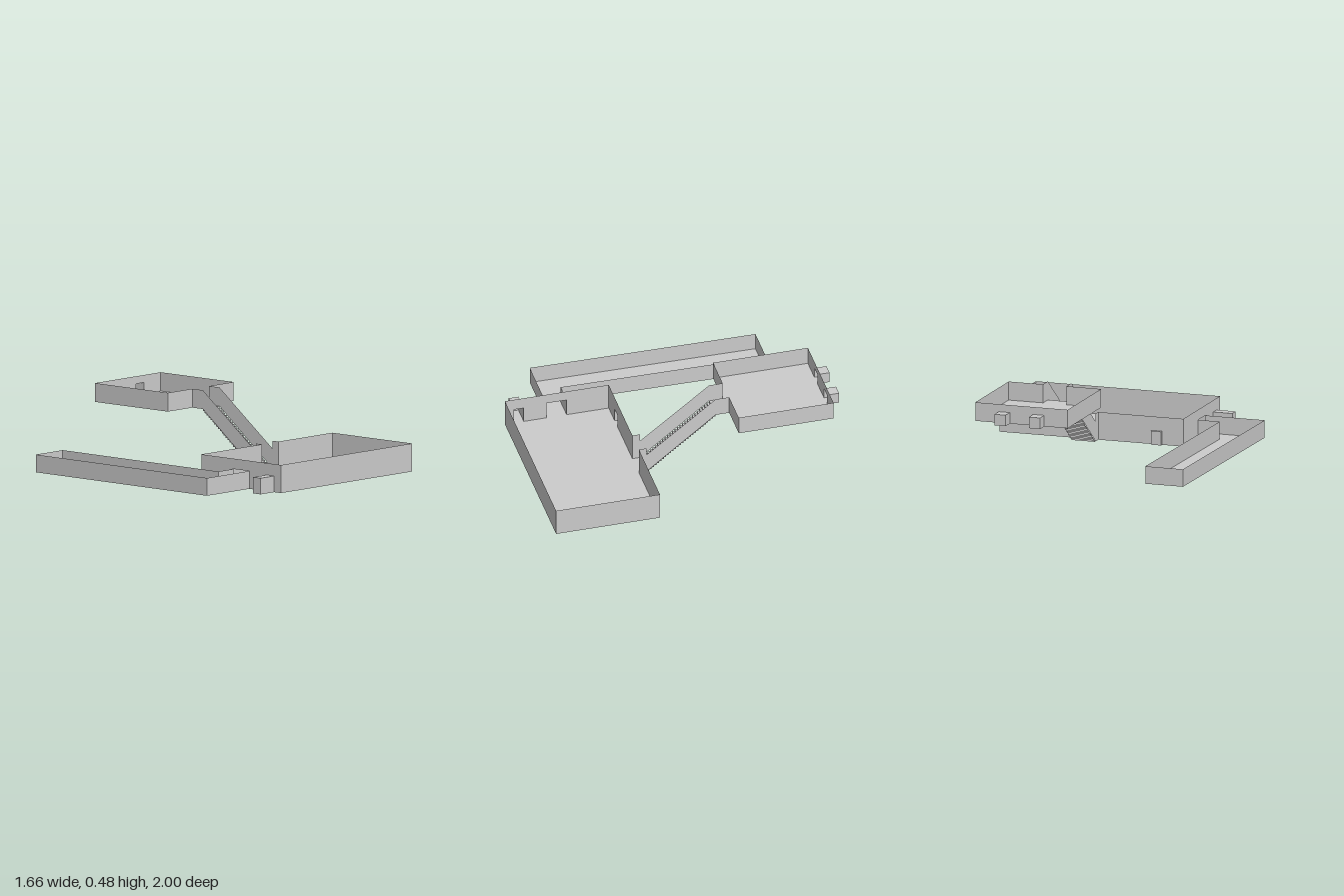
import * as THREE from 'three';

const mat = new THREE.MeshStandardMaterial({ color: 0xcccccc, side: THREE.DoubleSide, flatShading: true });

function add(parent, name, geometry) {
  geometry.computeVertexNormals();
  const mesh = new THREE.Mesh(geometry, mat);
  mesh.name = name;
  parent.add(mesh);
  return mesh;
}

const shapeOf = (pts) => new THREE.Shape(pts.map(([x, y]) => new THREE.Vector2(x, y)));

// Horizontal sheet from an outline of [x, z] points
function slab(parent, name, pts, y) {
  const g = new THREE.ShapeGeometry(shapeOf(pts.map(([x, z]) => [x, -z])));
  g.rotateX(-Math.PI / 2).translate(0, y, 0);
  return add(parent, name, g);
}

// Upright sheet from a to b ([x, z]); openings are [start, end, height] along it
function wall(parent, name, a, b, y, height, openings = []) {
  const dx = b[0] - a[0], dz = b[1] - a[1], len = Math.hypot(dx, dz);
  const pts = [[0, 0]];
  for (const [s, e, h] of openings) pts.push([s, 0], [s, h], [e, h], [e, 0]);
  pts.push([len, 0], [len, height], [0, height]);
  const g = new THREE.ShapeGeometry(shapeOf(pts));
  const p = g.attributes.position;
  for (let i = 0; i < p.count; i++) {
    const t = p.getX(i) / len;
    p.setXYZ(i, a[0] + dx * t, y + p.getY(i), a[1] + dz * t);
  }
  return add(parent, name, g);
}

// Run of walls along a path of [x, z] points
function walls(parent, name, path, y, height) {
  for (let i = 0; i + 1 < path.length; i++) wall(parent, name, path[i], path[i + 1], y, height);
}

// Small recess: floor, ceiling and three walls; path runs around its outer sides
function niche(parent, name, path, y, height) {
  const g = new THREE.Group();
  g.name = name;
  slab(g, name + 'Floor', path, y);
  slab(g, name + 'Ceiling', path, y + height);
  walls(g, name + 'Wall', path, y, height);
  parent.add(g);
}

function section(parent, name) {
  const g = new THREE.Group();
  g.name = name;
  parent.add(g);
  return g;
}

export function createModel() {
  const model = new THREE.Group();
  model.name = 'roomsWithStairs';
  const sx0 = 0.155, sx1 = 0.315; // stair sides
  const zLow = 0.26, zHigh = -0.2, upper = 0.36;

  // Main hall
  const hall = section(model, 'mainHall');
  const hx0 = -0.425, hx1 = 0.83, hz0 = 0.31, hz1 = 1, hh = 0.182;
  slab(hall, 'hallFloor', [[hx0, hz0], [hx1, hz0], [hx1, hz1], [hx0, hz1]], 0);
  walls(hall, 'hallWall', [[sx1, hz0], [hx1, hz0], [hx1, hz1], [hx0, hz1]], 0, hh);
  wall(hall, 'hallSideWall', [hx0, hz0], [hx0, hz1], 0, hh, [[0.28, 0.415, 0.115], [0.565, 0.63, 0.105]]);
  wall(hall, 'hallBackWall', [hx0, hz0], [sx0, hz0], 0, hh, [[0.145, 0.215, 0.09]]);
  niche(hall, 'backNiche', [[-0.28, hz0], [-0.28, 0.29], [-0.21, 0.29], [-0.21, hz0]], 0, 0.09);
  niche(hall, 'sideNiche', [[hx0, 0.875], [-0.555, 0.875], [-0.555, 0.94], [hx0, 0.94]], 0, 0.105);

  // Long corridor leaving the hall
  const corridor = section(model, 'corridor');
  const path = [[hx0, 0.725], [-0.83, 0.725], [-0.812, -0.77], [-0.555, -0.77], [-0.572, 0.59], [hx0, 0.59]];
  slab(corridor, 'corridorFloor', path, 0);
  walls(corridor, 'corridorWall', path, 0, 0.115);

  // Staircase with bottom and top landings
  const stairs = section(model, 'staircase');
  slab(stairs, 'lowerLanding', [[sx0, zLow], [sx1, zLow], [sx1, hz0], [sx0, hz0]], 0);
  slab(stairs, 'upperLanding', [[sx0, -0.29], [sx1, -0.29], [sx1, zHigh], [sx0, zHigh]], upper);
  for (const x of [sx0, sx1]) {
    wall(stairs, 'lowerLandingWall', [x, zLow], [x, hz0], 0, hh);
    wall(stairs, 'upperLandingWall', [x, -0.29], [x, zHigh], upper, 0.122);
    const g = new THREE.ShapeGeometry(shapeOf([[-zLow, 0], [-zHigh, upper], [-zHigh, 0.482], [-zLow, 0.13]]));
    g.rotateY(Math.PI / 2).translate(x, 0, 0);
    add(stairs, 'stairSideWall', g);
  }
  const n = 28, run = (zLow - zHigh) / n, rise = upper / n;
  for (let i = 0; i < n; i++) {
    const z = zLow - i * run;
    slab(stairs, 'tread', [[sx0, z - run], [sx1, z - run], [sx1, z], [sx0, z]], i * rise);
    wall(stairs, 'riser', [sx0, z - run], [sx1, z - run], i * rise, rise);
  }

  // Raised room with two niches in its back wall
  const room = section(model, 'upperRoom');
  const rx0 = -0.08, rx1 = 0.55, rz0 = -0.92, rz1 = -0.29, rh = 0.122;
  slab(room, 'roomFloor', [[rx0, rz0], [rx1, rz0], [rx1, rz1], [rx0, rz1]], upper);
  walls(room, 'roomWall', [[sx0, rz1], [rx0, rz1], [rx0, rz0]], upper, rh);
  walls(room, 'roomWall', [[sx1, rz1], [rx1, rz1], [rx1, rz0]], upper, rh);
  const niches = [[0.08, 0.155], [0.315, 0.39]];
  wall(room, 'roomBackWall', [rx0, rz0], [rx1, rz0], upper, rh, niches.map(([a, b]) => [a - rx0, b - rx0, 0.073]));
  for (const [a, b] of niches) niche(room, 'roomNiche', [[a, rz0], [a, -1], [b, -1], [b, rz0]], upper, 0.073);

  return model;
}
